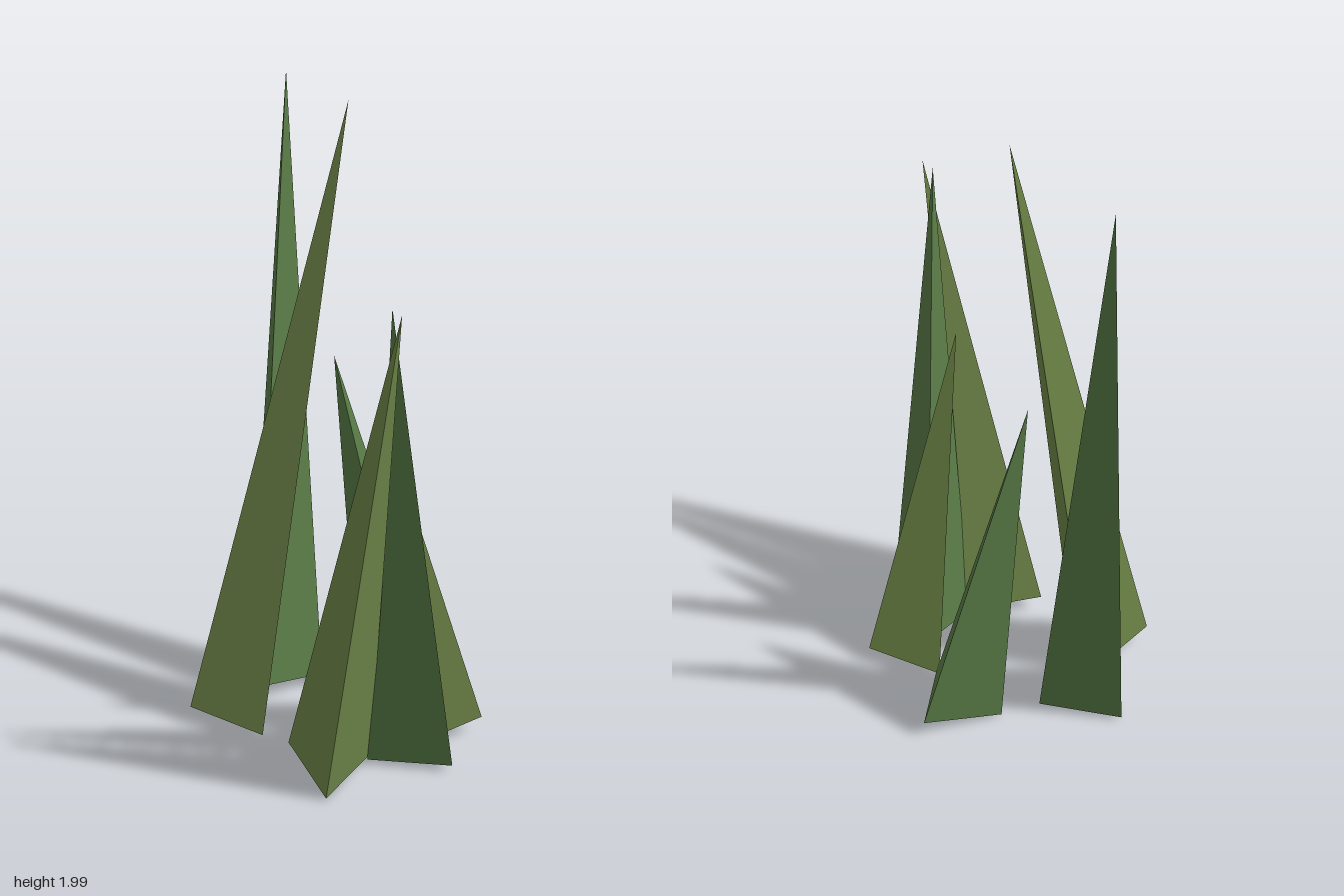
import * as THREE from 'three';

// Closed three-sided blade: a tip and three base corners
function bladeGeometry(tip, base) {
  const t = new THREE.Vector3(...tip);
  let [a, b, c] = base.map((p) => new THREE.Vector3(...p));
  // Keep the base corners counter-clockwise as seen from the tip
  const up = b.clone().sub(a).cross(c.clone().sub(a));
  if (up.y < 0) [b, c] = [c, b];
  const corners = [a, b, t, b, c, t, c, a, t, a, c, b];
  const geometry = new THREE.BufferGeometry().setFromPoints(corners);
  geometry.computeVertexNormals();
  return geometry;
}

export function createModel() {
  const olive = new THREE.MeshStandardMaterial({ color: 0x6f8749 });
  olive.name = 'olive';
  const green = new THREE.MeshStandardMaterial({ color: 0x597b47 });
  green.name = 'leaf green';

  // Tall blades at the back, middle ones in front, short ones at the side
  const blades = [
    ['tallBladeBack', green, [0.045, 1.99, -0.64],
      [[-0.17, 0.012, -0.4], [-0.2, 0.06, -0.157], [0.045, 0.03, -0.24]]],
    ['tallBladeRight', olive, [0.105, 1.99, -0.155],
      [[-0.44, 0.063, -0.09], [-0.25, 0.035, 0.103], [-0.19, 0.01, -0.16]]],
    ['middleBladeRight', olive, [0.015, 1.58, 0.64],
      [[-0.195, 0.062, 0.213], [-0.15, 0.01, 0.477], [0.045, 0.03, 0.3]]],
    ['middleBladeLeft', green, [0.008, 1.58, 0.578],
      [[0.27, 0.025, 0.43], [0.255, 0.065, 0.165], [0.033, 0.018, 0.31]]],
    ['shortBladeBack', green, [0.082, 1.165, -0.225],
      [[0.43, 0.06, -0.188], [0.285, 0.05, 0.033], [0.165, 0.006, -0.207]]],
    ['shortBladeFront', olive, [0.08, 1.165, 0.27],
      [[0.44, 0.06, 0.23], [0.28, 0.048, 0.02], [0.177, 0.004, 0.26]]],
  ];

  const grass = new THREE.Group();
  grass.name = 'grassTuft';
  for (const [name, material, tip, base] of blades) {
    const blade = new THREE.Mesh(bladeGeometry(tip, base), material);
    blade.name = name;
    grass.add(blade);
  }
  return grass;
}
